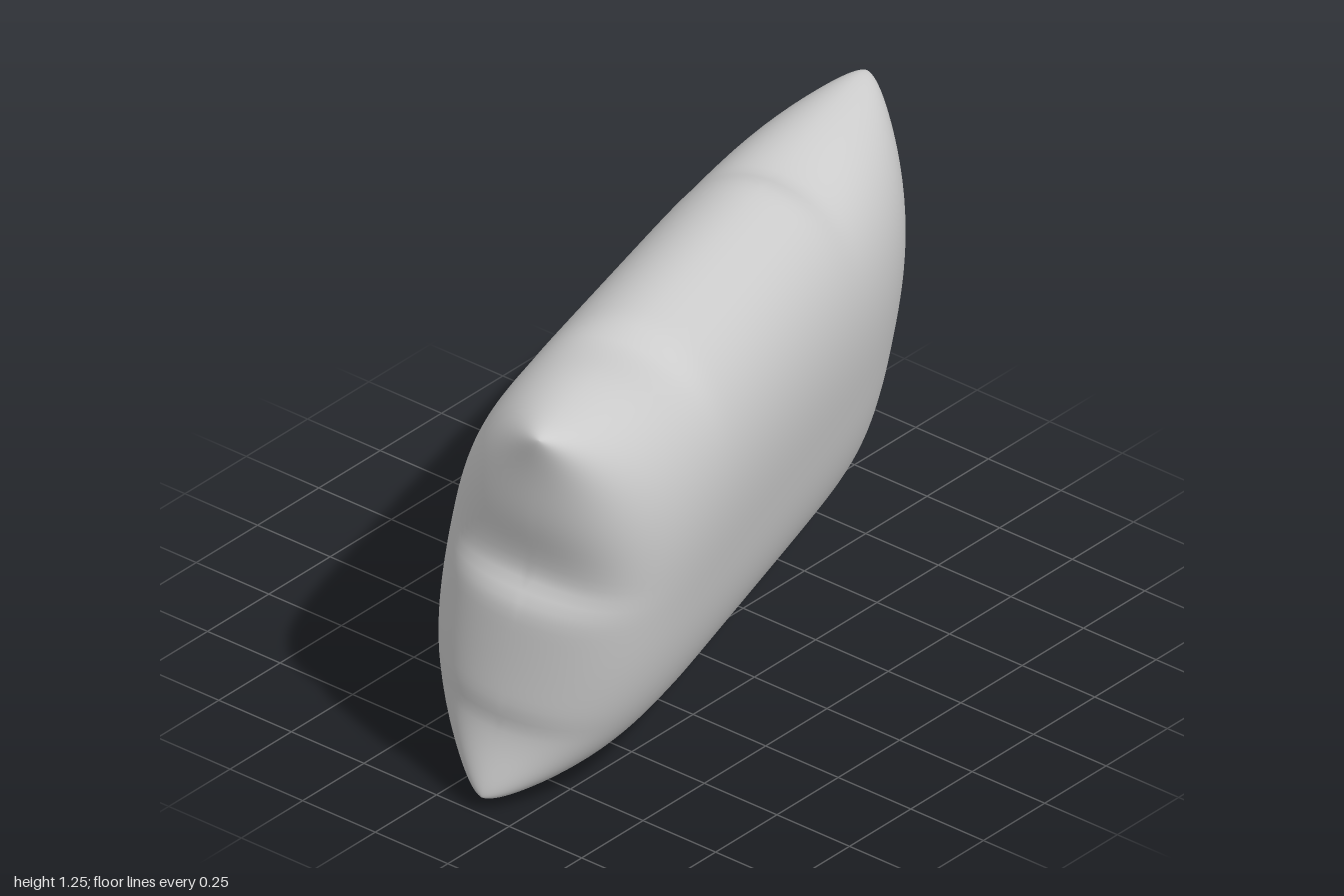
import * as THREE from 'three';
import { mergeVertices } from 'three/addons/utils/BufferGeometryUtils.js';

// Seam corners of the leaning pillow, slightly outside their rounded tips
const frontTop = new THREE.Vector3(0.355, 1.24, 1.012);
const frontBottom = new THREE.Vector3(0.15, 0.025, 1.012);
const backTop = new THREE.Vector3(-0.2, 1.26, -1.012);
const backBottom = new THREE.Vector3(-0.44, -0.014, -0.965);

const along = new THREE.Vector3(0.27, 0, 0.96).normalize();
const up = new THREE.Vector3(0.175, 0.98, 0).normalize();
const outward = new THREE.Vector3().crossVectors(up, along).normalize();

const COLS = 96, ROWS = 64;

// Pinches in the seam: place along the edge (-1..1), depth, width
const pinches = {
  front: [[0.18, 0.045, 0.1], [-0.62, 0.015, 0.09]],
  back: [[-0.28, 0.04, 0.09], [0.5, 0.01, 0.15]],
  top: [[0.46, 0.028, 0.06], [-0.46, 0.032, 0.07]],
  bottom: [[0.55, 0.03, 0.08], [-0.45, 0.01, 0.15]],
};

// Inward pull of one edge at place s, fading with distance d from the seam
function pull(list, s, d, bow) {
  let sum = bow * (1 - s ** 4) * Math.exp(-d / 0.22);
  for (const [place, depth, width] of list) {
    // Each pinch eases out slowly towards the nearer corner
    const spread = s * Math.sign(place) > Math.abs(place) ? width * 2.5 : width;
    sum += depth * Math.exp(-(((s - place) / spread) ** 2) - d / 0.09);
  }
  return sum;
}

function pillowPoint(a, b, side) {
  // Flat position between the four corners
  const low = backBottom.clone().lerp(frontBottom, (a + 1) / 2);
  const high = backTop.clone().lerp(frontTop, (a + 1) / 2);
  const p = low.lerp(high, (b + 1) / 2);

  // Gathered seams
  p.addScaledVector(along, pull(pinches.back, b, 1 + a, 0.045) - pull(pinches.front, b, 1 - a, 0.055));
  p.addScaledVector(up, pull(pinches.bottom, a, (1 + b) * 0.6, 0.05) - pull(pinches.top, a, (1 - b) * 0.6, 0.015));

  // Blunt corner tips
  const tip = 0.022 * Math.exp(-(1 - Math.abs(a) + 0.6 * (1 - Math.abs(b))) / 0.04);
  p.addScaledVector(along, -Math.sign(a) * tip).addScaledVector(up, -Math.sign(b) * tip);

  // Stuffing: fuller at the front, tapering at the back of the right face
  const taper = side < 0 && a < 0 ? 4.5 : 6;
  const full = Math.sqrt(Math.max(0, 1 - Math.abs(a) ** taper) * Math.max(0, 1 - Math.abs(b) ** 2.7));
  return p.addScaledVector(outward, (side * (0.33 + 0.022 * a) + 0.02) * full);
}

function pillowGeometry() {
  const positions = [], index = [];
  for (const side of [1, -1]) {
    const start = positions.length / 3;
    for (let j = 0; j <= ROWS; j++) {
      for (let i = 0; i <= COLS; i++) {
        // Rows and columns crowd towards the seams to keep them round
        const a = Math.sin((i / COLS - 0.5) * Math.PI);
        const b = Math.sin((j / ROWS - 0.5) * Math.PI);
        positions.push(...pillowPoint(a, b, side).toArray());
      }
    }
    for (let j = 0; j < ROWS; j++) {
      for (let i = 0; i < COLS; i++) {
        const p = start + j * (COLS + 1) + i, q = p + 1, r = p + COLS + 1, s = r + 1;
        if (side > 0) index.push(p, r, q, q, r, s);
        else index.push(p, q, r, q, s, r);
      }
    }
  }
  const geometry = new THREE.BufferGeometry();
  geometry.setAttribute('position', new THREE.Float32BufferAttribute(positions, 3));
  geometry.setIndex(index);
  const welded = mergeVertices(geometry, 1e-5);
  welded.computeVertexNormals();
  return welded;
}

export function createModel() {
  const group = new THREE.Group();
  group.name = 'pillow';
  const cushion = new THREE.Mesh(pillowGeometry(), new THREE.MeshStandardMaterial({ color: 0xcccccc }));
  cushion.name = 'cushion';
  group.add(cushion);
  return group;
}
